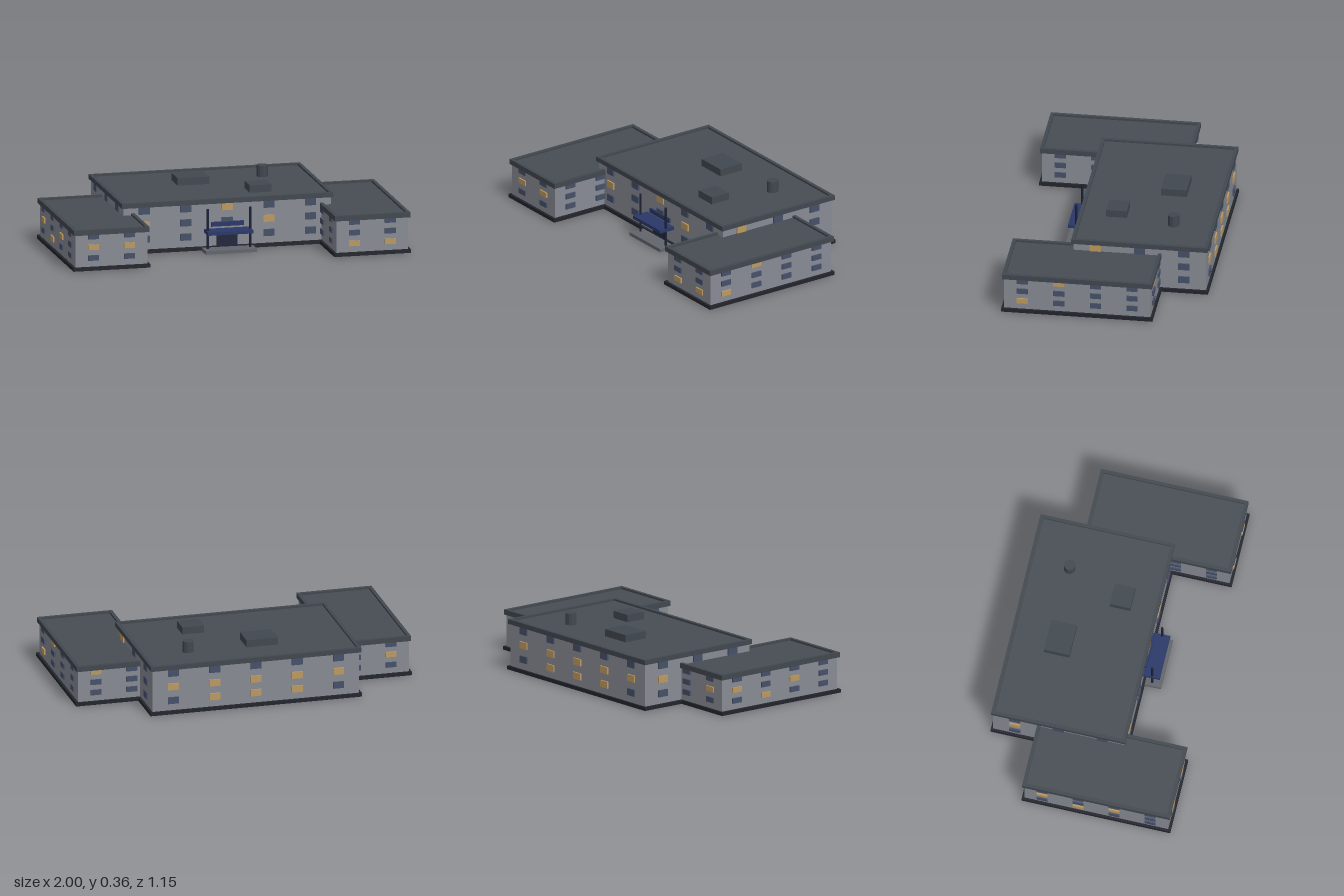
import * as THREE from 'three';

const mat = (color) => new THREE.MeshStandardMaterial({ color, flatShading: true });
const M = {
  wall: mat(0x888b94), roof: mat(0x484d55), trim: mat(0x41484f), base: mat(0x23252d),
  dark: mat(0x465068), lit: mat(0xbd9a60), blue: mat(0x2a3768), door: mat(0x20263c),
  post: mat(0x1b2236), step: mat(0x62656c),
};

// Box given by its lower and upper limits on each axis
function box(parent, name, material, x0, x1, y0, y1, z0, z1) {
  const mesh = new THREE.Mesh(new THREE.BoxGeometry(x1 - x0, y1 - y0, z1 - z0), material);
  mesh.position.set((x0 + x1) / 2, (y0 + y1) / 2, (z0 + z1) / 2);
  mesh.name = name;
  parent.add(mesh);
  return mesh;
}

// Raised rim running round the edge of a roof
function parapet(parent, x0, x1, y0, y1, z0, z1) {
  const t = 0.02;
  const shape = new THREE.Shape([[x0, -z0], [x0, -z1], [x1, -z1], [x1, -z0]]
    .map(([x, y]) => new THREE.Vector2(x, y)));
  shape.holes.push(new THREE.Path([[x0 + t, -z0 - t], [x1 - t, -z0 - t], [x1 - t, -z1 + t], [x0 + t, -z1 + t]]
    .map(([x, y]) => new THREE.Vector2(x, y))));
  const geometry = new THREE.ExtrudeGeometry(shape, { depth: y1 - y0, bevelEnabled: false });
  geometry.rotateX(-Math.PI / 2).translate(0, y0, 0);
  const mesh = new THREE.Mesh(geometry, M.trim);
  mesh.name = 'parapet';
  parent.add(mesh);
}

// Window grid on one wall; pattern rows run top to bottom, '#' is a lit window.
// Columns run along +x for front and back, along +z for the sides.
function windows(parent, side, w, rows, height, pattern) {
  const alongX = side === 'front' || side === 'back';
  const [a0, a1] = alongX ? [w.x0, w.x1] : [w.z0, w.z1];
  const face = { front: w.z1, back: w.z0, left: w.x1, right: w.x0 }[side];
  pattern.forEach((line, r) => [...line].forEach((c, i) => {
    const a = a0 + (a1 - a0) * (i + 0.5) / line.length;
    const m = c === '#' ? M.lit : M.dark;
    const y = rows[r], h = height / 2, hw = 0.032, d = 0.009;
    if (alongX) box(parent, 'window', m, a - hw, a + hw, y - h, y + h, face - d, face + d);
    else box(parent, 'window', m, face - d, face + d, y - h, y + h, a - hw, a + hw);
  }));
}

// Plinth, walls, roof, rim and windows of one block
function block(name, w, eave, top, rows, height, patterns) {
  const g = new THREE.Group();
  g.name = name;
  box(g, 'plinth', M.base, w.x0 - 0.015, w.x1 + 0.015, 0.004, 0.025, w.z0 - 0.013, w.z1 + 0.015);
  box(g, 'walls', M.wall, w.x0, w.x1, 0.025, eave, w.z0, w.z1);
  box(g, 'roof', M.roof, w.x0, w.x1, eave, top - 0.012, w.z0, w.z1);
  parapet(g, w.x0 - 0.011, w.x1 + 0.011, eave, top, w.z0 - 0.011, w.z1 + 0.011);
  for (const side in patterns) windows(g, side, w, rows, height, patterns[side]);
  return g;
}

export function createModel() {
  const model = new THREE.Group();
  model.name = 'building';

  // Main block
  const main = block('mainBlock', { x0: -0.615, x1: 0.615, z0: -0.56, z1: 0.211 },
    0.274, 0.302, [0.253, 0.17, 0.086], 0.04, {
      front: ['..#..', '#..#.', '.....'],
      back: ['.....', '#####', '.###.'],
      left: ['..#', '...', '...'],
      right: ['...', '#..', '...'],
    });
  model.add(main);

  // Side wings
  const rows = [0.203, 0.14, 0.077];
  model.add(block('leftWing', { x0: 0.56, x1: 0.985, z0: -0.29, z1: 0.56 }, 0.213, 0.243, rows, 0.031, {
    front: ['..', '..', '##'],
    back: ['.#', '..', '..'],
    left: ['..#.', '....', '...#'],
    right: ['....', '....', '....'],
  }));
  model.add(block('rightWing', { x0: -0.985, x1: -0.56, z0: -0.29, z1: 0.56 }, 0.213, 0.243, rows, 0.031, {
    front: ['..', '##', '..'],
    back: ['..', '#.', '..'],
    left: ['....', '....', '....'],
    right: ['....', '#.#.', '.#..'],
  }));

  // Rooftop units and vent
  const roofUnits = new THREE.Group();
  roofUnits.name = 'roofUnits';
  box(roofUnits, 'largeRoofUnit', M.trim, -0.188, 0, 0.285, 0.333, -0.36, -0.21);
  box(roofUnits, 'smallRoofUnit', M.trim, 0.17, 0.3, 0.285, 0.333, -0.055, 0.065);
  const vent = new THREE.Mesh(new THREE.CylinderGeometry(0.033, 0.033, 0.073, 12), M.trim);
  vent.name = 'roofVent';
  vent.position.set(0.343, 0.3205, -0.333);
  roofUnits.add(vent);
  model.add(roofUnits);

  // Entrance: step, door, canopy, upper panel and two tall posts
  const entrance = new THREE.Group();
  entrance.name = 'entrance';
  box(entrance, 'step', M.step, -0.153, 0.149, 0, 0.02, 0.2, 0.322);
  box(entrance, 'door', M.door, -0.062, 0.06, 0.02, 0.107, 0.2, 0.222);
  box(entrance, 'canopy', M.blue, -0.138, 0.132, 0.108, 0.127, 0.2, 0.311);
  box(entrance, 'canopyPanel', M.blue, -0.097, 0.097, 0.14, 0.166, 0.2, 0.224);
  for (const x of [-0.128, 0.123]) {
    const post = new THREE.Mesh(new THREE.CylinderGeometry(0.007, 0.007, 0.235, 8), M.post);
    post.name = 'post';
    post.position.set(x, 0.1375, 0.264);
    entrance.add(post);
  }
  model.add(entrance);
  return model;
}
